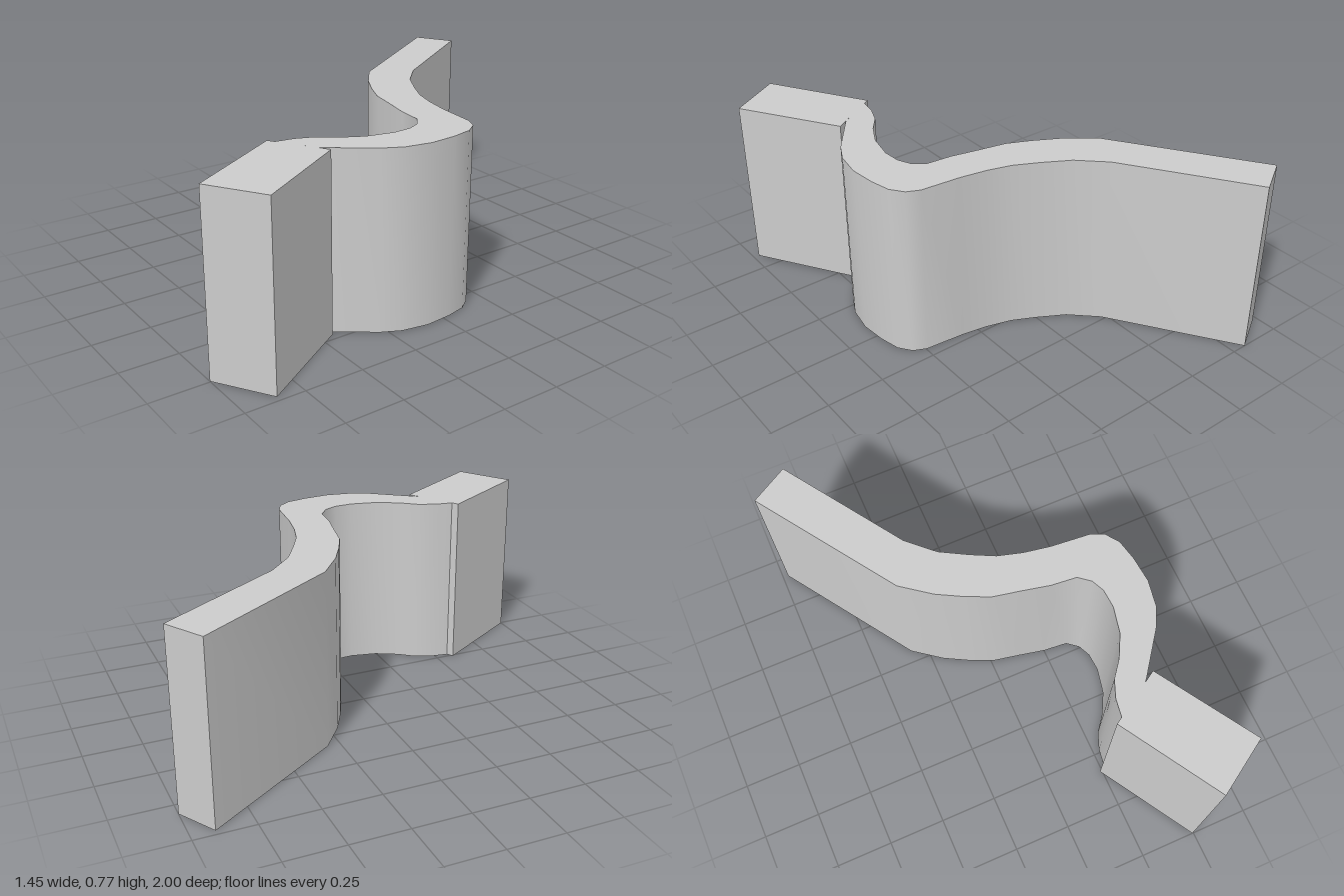
import * as THREE from 'three';
import { toCreasedNormals } from 'three/addons/utils/BufferGeometryUtils.js';

const HEIGHT = 0.77;

// Upright prism from a plan outline given as [x, z] pairs
function prism(name, plan) {
  const shape = new THREE.Shape(plan.map(([x, z]) => new THREE.Vector2(x, -z)));
  const extruded = new THREE.ExtrudeGeometry(shape, { depth: HEIGHT, bevelEnabled: false });
  extruded.rotateX(-Math.PI / 2);
  const mesh = new THREE.Mesh(
    toCreasedNormals(extruded, 0.7),
    new THREE.MeshStandardMaterial({ color: 0xcccccc })
  );
  mesh.name = name;
  return mesh;
}

export function createModel() {
  const group = new THREE.Group();
  group.name = 'curvedWall';

  // Convex side of the band, from the back end to the block
  const outer = [
    [-0.565, -1], [-0.225, -0.485], [-0.115, -0.38], [0, -0.315], [0.1, -0.265],
    [0.205, -0.235], [0.32, -0.215], [0.495, -0.2], [0.55, -0.175], [0.59, -0.12],
    [0.61, -0.03], [0.62, 0.085], [0.6, 0.2], [0.56, 0.28], [0.43, 0.455], [0.418, 0.469],
  ];
  // Opposite side, from the back end to the block
  const inner = [
    [-0.725, -0.905], [-0.325, -0.305], [-0.2, -0.21], [-0.09, -0.15], [0.01, -0.105],
    [0.135, -0.08], [0.25, -0.055], [0.36, -0.045], [0.41, -0.005], [0.435, 0.05],
    [0.44, 0.13], [0.415, 0.245], [0.365, 0.34], [0.31, 0.41], [0.28, 0.485], [0.268, 0.563],
  ];
  group.add(prism('curvedBand', [...outer, ...inner.reverse()]));

  // Thick straight block at the front end
  group.add(prism('endBlock', [[0.465, 0.44], [0.725, 0.855], [0.495, 1], [0.24, 0.58]]));

  return group;
}
